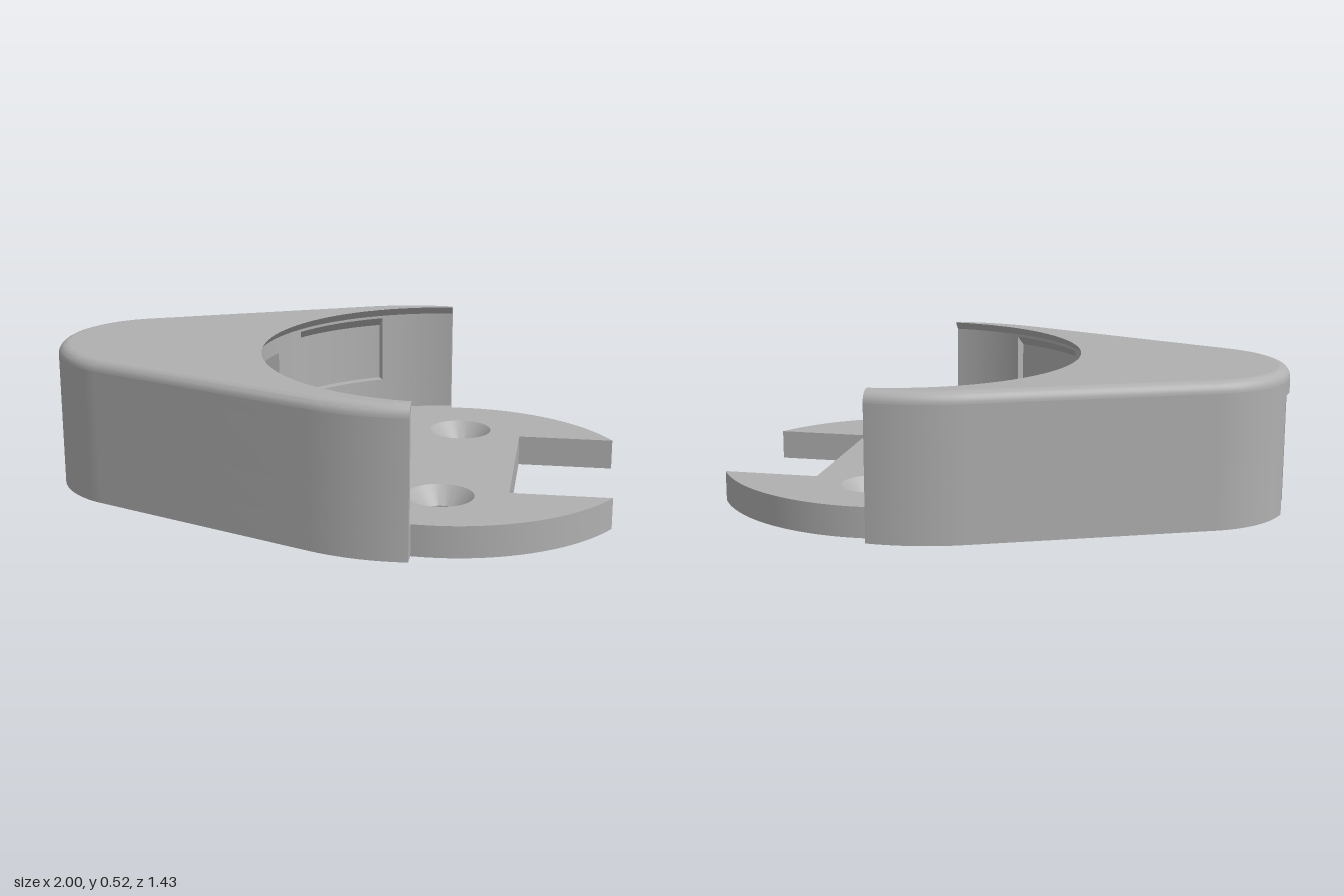
import * as THREE from 'three';
import { toCreasedNormals } from 'three/addons/utils/BufferGeometryUtils.js';

// Plan coordinates: a runs along the symmetry axis toward the jaw, b across it.
const DISC = { a: 0.333, r: 0.665 };      // base disc and top opening
const CAVITY = 0.69, POCKET = 0.725;      // inner wall radius, pocket radius
const BIG = { a: 0.2145, r: 0.72 }, TAIL = { a: -0.725, r: 0.36 };
const CUT = 0.275;                        // plane where the housing ends
const FILLET = 0.04, TOP = 0.52, FLOOR = 0.11, CEILING = 0.43;
const SIDE = THREE.MathUtils.degToRad(112.5);
const POCKET_FROM = 0.515, POCKET_TO = 1.08;

const arc = (ca, r, from, to, n = 24) => Array.from({ length: n + 1 }, (_, i) => {
  const t = from + (to - from) * i / n;
  return [ca + r * Math.cos(t), r * Math.sin(t)];
});
const mirror = pts => pts.map(([a, b]) => [a, -b]).reverse();
const cutAngle = (c, r) => Math.acos((CUT - c) / r);

// Half of the housing outline from the cut round to the tail, inset by d
function halfOutline(d, tailEnd = Math.PI) {
  const r = BIG.r - d;
  return arc(BIG.a, r, cutAngle(BIG.a, r), SIDE)
    .concat(arc(TAIL.a, TAIL.r - d, SIDE, tailEnd));
}
const outline = d => [...halfOutline(d), ...mirror(halfOutline(d)).slice(1)];

// Half of the cavity wall, from angle alpha off the tail axis to the cut
function halfCavity(r, alpha, pocket) {
  const run = (rad, p, q) => arc(DISC.a, rad, Math.PI - p, Math.PI - q, 20);
  const end = Math.PI - cutAngle(DISC.a, r);
  if (!pocket) return arc(DISC.a, r, Math.PI - alpha, Math.PI - end, 48);
  return [...run(r, alpha, POCKET_FROM), ...run(POCKET, POCKET_FROM, POCKET_TO), ...run(r, POCKET_TO, end)];
}

function toShape(pts) {
  const clean = pts.filter((p, i) => i === 0 || Math.hypot(p[0] - pts[i - 1][0], p[1] - pts[i - 1][1]) > 1e-5);
  return new THREE.Shape(clean.map(p => new THREE.Vector2(p[0], p[1])));
}
function slab(shape, y0, y1) {
  const g = new THREE.ExtrudeGeometry(shape, { depth: y1 - y0, bevelEnabled: false, curveSegments: 24 });
  g.rotateX(-Math.PI / 2).translate(0, y0, 0);
  return toCreasedNormals(g, 0.5);
}

// Rounded outer top edge made from inset outlines
function filletGeometry() {
  const pos = [], index = [], steps = 8;
  let n = 0;
  for (let i = 0; i <= steps; i++) {
    const t = i / steps * Math.PI / 2;
    const loop = outline(FILLET * (1 - Math.cos(t)));
    n = loop.length;
    loop.forEach(([a, b]) => pos.push(a, TOP - FILLET + FILLET * Math.sin(t), -b));
  }
  for (let i = 0; i < steps; i++) {
    for (let j = 0; j < n - 1; j++) {
      const p = i * n + j;
      index.push(p, p + 1, p + n + 1, p, p + n + 1, p + n);
    }
  }
  const g = new THREE.BufferGeometry();
  g.setAttribute('position', new THREE.Float32BufferAttribute(pos, 3));
  g.setIndex(index);
  return toCreasedNormals(g, 0.7);
}

// Surface swept round the disc centre between two angles off the tail axis
function sweep(profile, from, to) {
  const g = new THREE.LatheGeometry(profile.map(p => new THREE.Vector2(...p)), 48, Math.PI * 1.5 + from, to - from);
  return toCreasedNormals(g, 0.5).translate(DISC.a, 0, 0);
}

export function createModel() {
  const grey = new THREE.MeshStandardMaterial({ color: 0xb0b0b0 });
  grey.name = 'grey';
  const body = new THREE.Group();
  body.name = 'housing';
  const add = (name, geometry) => {
    const m = new THREE.Mesh(geometry, grey);
    m.name = name;
    body.add(m);
    return m;
  };

  // Base plate: open jaw, disc rim, housing footprint, tail slot and chamber
  const slot = 0.087, chamber = 0.205;
  const tailEnd = Math.PI - Math.asin(slot / TAIL.r);
  const jaw = 0.318;
  const half = [
    [0.57, jaw],
    ...arc(DISC.a, DISC.r, Math.asin(jaw / DISC.r), cutAngle(DISC.a, DISC.r), 32),
    ...halfOutline(0, tailEnd),
    [-0.95, slot], [-0.95, chamber], [-0.49, chamber], [-0.49, 0.123], [-0.13, 0.123],
  ];
  const base = toShape([...half, ...mirror(half)]);
  for (const s of [1, -1]) {
    base.holes.push(new THREE.Path().absarc(0.342, s * 0.375, 0.115, 0, Math.PI * 2, true));
  }
  add('basePlate', slab(base, 0, FLOOR));

  // Countersunk screw holes
  const sink = [[0.115, FLOOR], [0.06, 0.05], [0.06, 0], [0.115, 0]].map(p => new THREE.Vector2(...p));
  for (const s of [1, -1]) {
    const g = toCreasedNormals(new THREE.LatheGeometry(sink, 48), 0.5);
    add('screwHole', g).position.set(0.342, 0, s * 0.375);
  }

  // Side walls either side of the chamber, pocketed above the sill
  const mouth = Math.asin(chamber / CAVITY);
  for (const [y0, y1, pocket] of [[FLOOR, 0.23, false], [0.23, CEILING, true]]) {
    const wall = [...halfOutline(0, tailEnd), [-0.95, slot], [-0.95, chamber], ...halfCavity(CAVITY, mouth, pocket)];
    add('leftWall', slab(toShape(wall), y0, y1));
    add('rightWall', slab(toShape(mirror(wall)), y0, y1));
  }

  // Solid band over the chamber
  const inner = halfCavity(CAVITY, 0, true);
  add('upperWall', slab(toShape([...outline(0), ...mirror(inner), ...inner.slice(1)]), CEILING, TOP - FILLET));

  // Sloped pocket ceilings
  const slope = [[CAVITY, 0.48], [POCKET, 0.445]];
  add('pocketCeiling', sweep(slope, POCKET_FROM, POCKET_TO));
  add('pocketCeiling', sweep(slope, -POCKET_TO, -POCKET_FROM));

  // Lid: flat top, rounded edge and overhanging lip
  const opening = halfCavity(DISC.r, 0, false);
  const lid = new THREE.ShapeGeometry(toShape([...outline(FILLET), ...mirror(opening), ...opening.slice(1)]));
  add('lid', lid.rotateX(-Math.PI / 2).translate(0, TOP, 0));
  add('roundedEdge', filletGeometry());
  const reach = Math.PI - cutAngle(DISC.a, CAVITY);
  add('lip', sweep([[DISC.r, TOP], [CAVITY, 0.49], [CAVITY, 0.48]], -reach, reach));

  // End faces of the lid at the cut
  const across = (c, r) => Math.sqrt(r * r - (CUT - c) ** 2);
  const end = [];
  for (let i = 0; i <= 8; i++) {
    const t = i / 8 * Math.PI / 2;
    end.push([across(BIG.a, BIG.r - FILLET * (1 - Math.cos(t))), TOP - FILLET + FILLET * Math.sin(t)]);
  }
  end.push([across(DISC.a, DISC.r), TOP], [across(DISC.a, CAVITY), 0.49], [across(DISC.a, CAVITY), 0.48]);
  for (const s of [1, -1]) {
    const g = new THREE.ShapeGeometry(toShape(end.map(([b, y]) => [s * b, y])));
    add('lidEnd', g.rotateY(Math.PI / 2).translate(CUT, 0, 0));
  }

  // Turn the symmetry axis into place
  body.rotation.y = Math.PI / 8;
  body.position.set(0.03, 0, 0.072);
  const model = new THREE.Group();
  model.name = 'toolHolder';
  model.add(body);
  return model;
}
